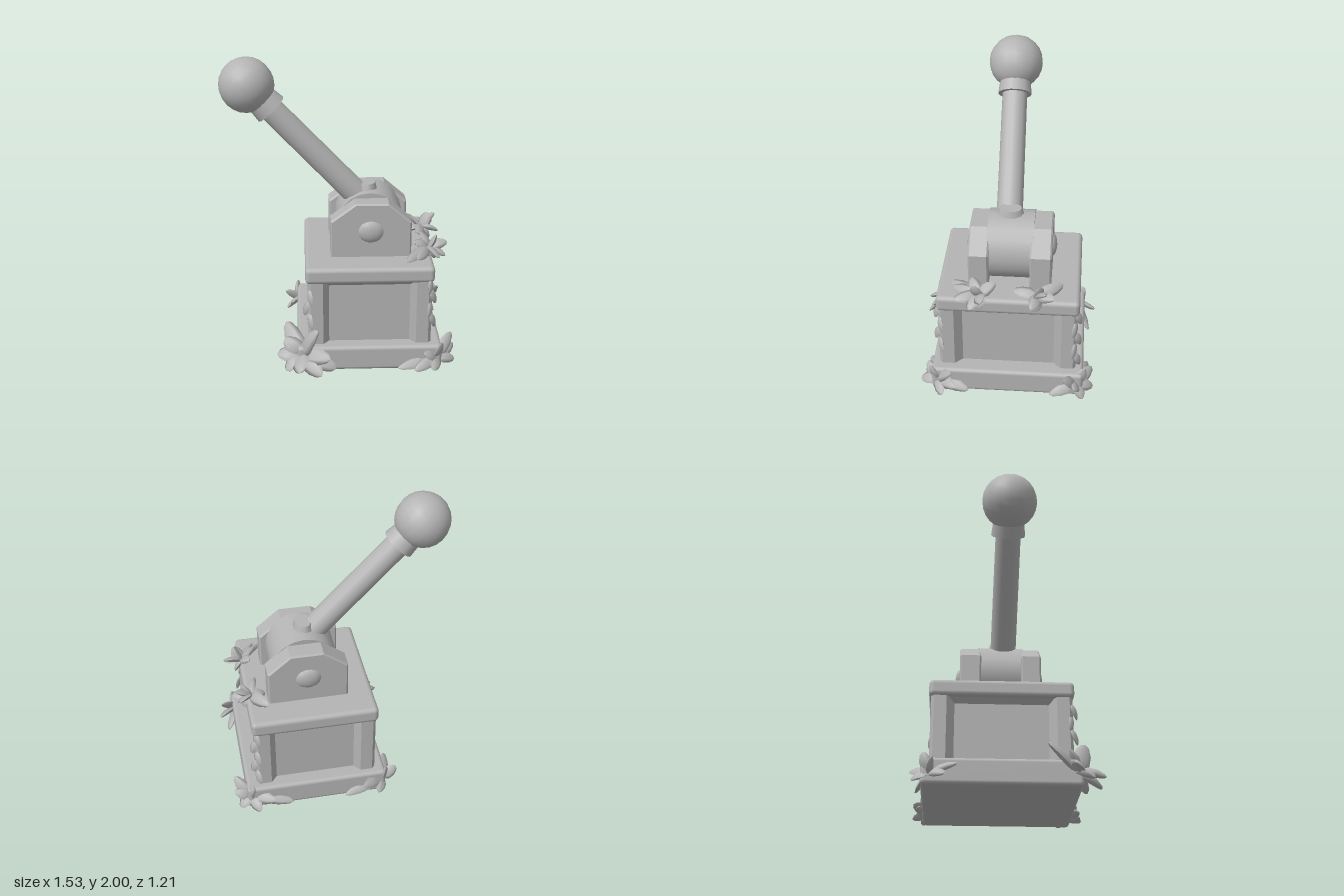
import * as THREE from 'three';
import { RoundedBoxGeometry } from 'three/addons/geometries/RoundedBoxGeometry.js';

const CX = 0.19, CZ = -0.03; // centre of the pedestal
const AXLE = new THREE.Vector3(0.205, 0.89, -0.03);

export function createModel() {
  const model = new THREE.Group();
  model.name = 'leverSwitch';
  const stone = new THREE.MeshStandardMaterial({ color: 0xb4b4b4 });
  stone.name = 'grey stone';

  const add = (name, geometry, x = 0, y = 0, z = 0, parent = model) => {
    const mesh = new THREE.Mesh(geometry, stone);
    mesh.name = name;
    mesh.position.set(x, y, z);
    parent.add(mesh);
    return mesh;
  };
  const polygon = (pts) => new THREE.Shape(pts.map(([x, y]) => new THREE.Vector2(x, y)));

  // Pedestal: plinth, body with a recessed panel on every side, rounded cap
  add('plinth', new RoundedBoxGeometry(0.95, 0.17, 1.0, 2, 0.025), CX, 0.085, CZ);

  const hx = 0.405, hz = 0.45, depth = 0.05;
  const quarter = (sx, sz) => [
    [sx * (hx - 0.14), sz * (hz - depth)], [sx * (hx - 0.1), sz * hz],
    [sx * (hx - 0.02), sz * hz], [sx * hx, sz * (hz - 0.02)],
    [sx * hx, sz * (hz - 0.1)], [sx * (hx - depth), sz * (hz - 0.15)],
  ];
  const plan = [
    ...quarter(1, 1), ...quarter(1, -1).reverse(),
    ...quarter(-1, -1), ...quarter(-1, 1).reverse(),
  ];
  const body = new THREE.ExtrudeGeometry(polygon(plan), { depth: 0.46, bevelEnabled: false });
  body.rotateX(-Math.PI / 2);
  add('panelledBody', body, CX, 0.16, CZ);

  // Sloping underside between the panels and the cap
  const lip = new THREE.CylinderGeometry(Math.SQRT2, Math.SQRT2 * 0.88, 0.05, 4, 1, false, Math.PI / 4);
  lip.scale(hx, 1, hz);
  const flatLip = lip.toNonIndexed();
  flatLip.computeVertexNormals();
  add('capUnderside', flatLip, CX, 0.595, CZ);
  add('cap', new RoundedBoxGeometry(0.84, 0.11, 0.925, 2, 0.03), CX, 0.658, CZ);

  // Two bracket plates with clipped upper corners, each with a domed bolt
  const plateShape = polygon([
    [-0.05, 0.69], [0.46, 0.69], [0.46, 0.945], [0.315, 1.07], [0.105, 1.07], [-0.05, 0.955],
  ]);
  for (const [side, z0, z1, boltZ] of [['front', 0.105, 0.235, 0.225], ['back', -0.3, -0.16, -0.29]]) {
    const b = 0.01;
    const plate = new THREE.ExtrudeGeometry(plateShape, {
      depth: z1 - z0 - 2 * b, bevelThickness: b, bevelSize: b, bevelSegments: 1,
    });
    add(side + 'BracketPlate', plate, 0, 0, z0 + b);
    const bolt = add(side + 'Bolt', new THREE.SphereGeometry(1, 12, 8), 0.203, 0.888, boltZ);
    bolt.scale.set(0.09, 0.077, 0.038);
  }

  // Pivot barrel between the plates, with a raised seat for the lever
  const barrel = new THREE.CylinderGeometry(0.225, 0.225, 0.3, 20);
  barrel.rotateX(Math.PI / 2);
  add('pivotBarrel', barrel, AXLE.x, AXLE.y, AXLE.z);
  const seat = new THREE.CylinderGeometry(0.075, 0.125, 0.14, 10);
  seat.scale(0.75, 1, 1);
  add('leverSeat', seat, 0.19, 1.08, -0.02);

  // Lever: rod, collar and ball, aligned with the slanted axis
  const top = new THREE.Vector3(-0.59, 1.82, 0.0);
  const foot = new THREE.Vector3(0.2, 0.985, -0.01);
  const axis = top.clone().sub(foot);
  const length = axis.length();
  const lever = new THREE.Group();
  lever.name = 'lever';
  lever.position.copy(foot);
  lever.quaternion.setFromUnitVectors(new THREE.Vector3(0, 1, 0), axis.normalize());
  model.add(lever);
  add('rod', new THREE.CylinderGeometry(0.082, 0.086, length, 16), 0, length / 2, 0, lever);
  add('collar', new THREE.CylinderGeometry(0.1, 0.112, 0.11, 14), 0, length - 0.17, 0, lever);
  add('ballKnob', new THREE.SphereGeometry(0.18, 18, 12), 0, length, 0, lever);

  // Leaf: pointed, slightly curled pad running from y = 0 to y = 1
  const leafGeometry = new THREE.SphereGeometry(1, 6, 5);
  const p = leafGeometry.attributes.position;
  for (let i = 0; i < p.count; i++) {
    const t = (p.getY(i) + 1) / 2;
    const taper = 1.15 - 0.4 * t;
    p.setXYZ(i, p.getX(i) * 0.5 * taper, t, p.getZ(i) * 0.5 * taper + 0.18 * Math.sin(Math.PI * t));
  }
  leafGeometry.computeVertexNormals();

  const addLeaf = (group, from, tip, width, outward) => {
    const dir = tip.clone().sub(from);
    const len = dir.length();
    dir.normalize();
    const face = outward.clone().addScaledVector(dir, -outward.dot(dir)).normalize();
    const leaf = add('leaf', leafGeometry, from.x, from.y, from.z, group);
    const across = new THREE.Vector3().crossVectors(dir, face);
    leaf.quaternion.setFromRotationMatrix(new THREE.Matrix4().makeBasis(across, dir, face));
    leaf.scale.set(width, len, width * 0.45);
  };

  // Leaf clusters: root, leaf width, then the tip of each leaf
  const clusters = {
    frontRightCornerLeaves: [[-0.25, 0.1, 0.43], 0.13,
      [[-0.15, 0.31, 0.5], [-0.36, 0.25, 0.24], [-0.42, 0.1, 0.41], [-0.36, 0.03, 0.52], [-0.27, 0.06, 0.61],
        [-0.07, 0.13, 0.56], [-0.03, 0.03, 0.5], [-0.37, 0.2, 0.38], [-0.13, 0.03, 0.6]]],
    frontLeftCornerLeaves: [[0.63, 0.07, 0.43], 0.09,
      [[0.37, 0.03, 0.51], [0.48, 0.02, 0.53], [0.6, 0.03, 0.55], [0.74, 0.2, 0.33], [0.76, 0.1, 0.3],
        [0.76, 0.03, 0.39], [0.66, 0.19, 0.47], [0.71, 0.04, 0.22], [0.54, 0.13, 0.51]]],
    backLeftCornerLeaves: [[0.64, 0.08, -0.48], 0.09,
      [[0.36, 0.04, -0.56], [0.48, 0.1, -0.59], [0.59, 0.03, -0.6], [0.75, 0.12, -0.47], [0.74, 0.19, -0.4],
        [0.7, 0.03, -0.31], [0.62, 0.2, -0.54], [0.72, 0.02, -0.53]]],
    backRightCornerLeaves: [[-0.27, 0.07, -0.47], 0.09,
      [[0.01, 0.03, -0.56], [-0.11, 0.13, -0.6], [-0.22, 0.04, -0.59], [-0.37, 0.14, -0.46], [-0.36, 0.04, -0.38],
        [-0.32, 0.12, -0.3], [-0.28, 0.2, -0.52]]],
    capFrontLeaves: [[0.59, 0.74, 0.15], 0.09,
      [[0.55, 0.81, 0.05], [0.72, 0.77, 0.13], [0.7, 0.7, 0.21], [0.43, 0.72, 0.35], [0.5, 0.73, 0.33],
        [0.64, 0.73, 0.31], [0.64, 0.84, 0.18], [0.64, 0.66, 0.15], [0.49, 0.8, 0.21]]],
    capBackLeaves: [[0.58, 0.74, -0.22], 0.09,
      [[0.48, 0.77, -0.38], [0.66, 0.78, -0.33], [0.7, 0.72, -0.18], [0.54, 0.75, -0.06], [0.48, 0.72, -0.19],
        [0.63, 0.84, -0.23], [0.68, 0.82, -0.27], [0.64, 0.66, -0.2]]],
  };
  for (const [name, [root, width, tips]] of Object.entries(clusters)) {
    const group = new THREE.Group();
    group.name = name;
    model.add(group);
    const from = new THREE.Vector3(...root);
    const outward = new THREE.Vector3(root[0] - CX, 0, root[2] - CZ).normalize();
    outward.y = 1;
    for (const tip of tips) addLeaf(group, from, new THREE.Vector3(...tip), width, outward);
  }

  // Small leaves hanging down three corners of the body
  for (const [sx, sz, high, count] of [[1, 1, 0.63, 4], [1, -1, 0.63, 5], [-1, 1, 0.56, 3]]) {
    const group = new THREE.Group();
    group.name = 'hangingLeaves';
    model.add(group);
    const outward = new THREE.Vector3(sx, 0, sz);
    for (let i = 0; i < count; i++) {
      const sway = i % 2 ? 0.025 : -0.025;
      const x = CX + sx * (hx - 0.01), z = CZ + sz * (hz - 0.01), y = high - i * 0.085;
      const from = new THREE.Vector3(x, y, z);
      const tip = new THREE.Vector3(x + sx * (0.01 + sway), y - 0.1, z + sz * (0.01 - sway));
      addLeaf(group, from, tip, 0.055, outward);
    }
  }
  return model;
}
